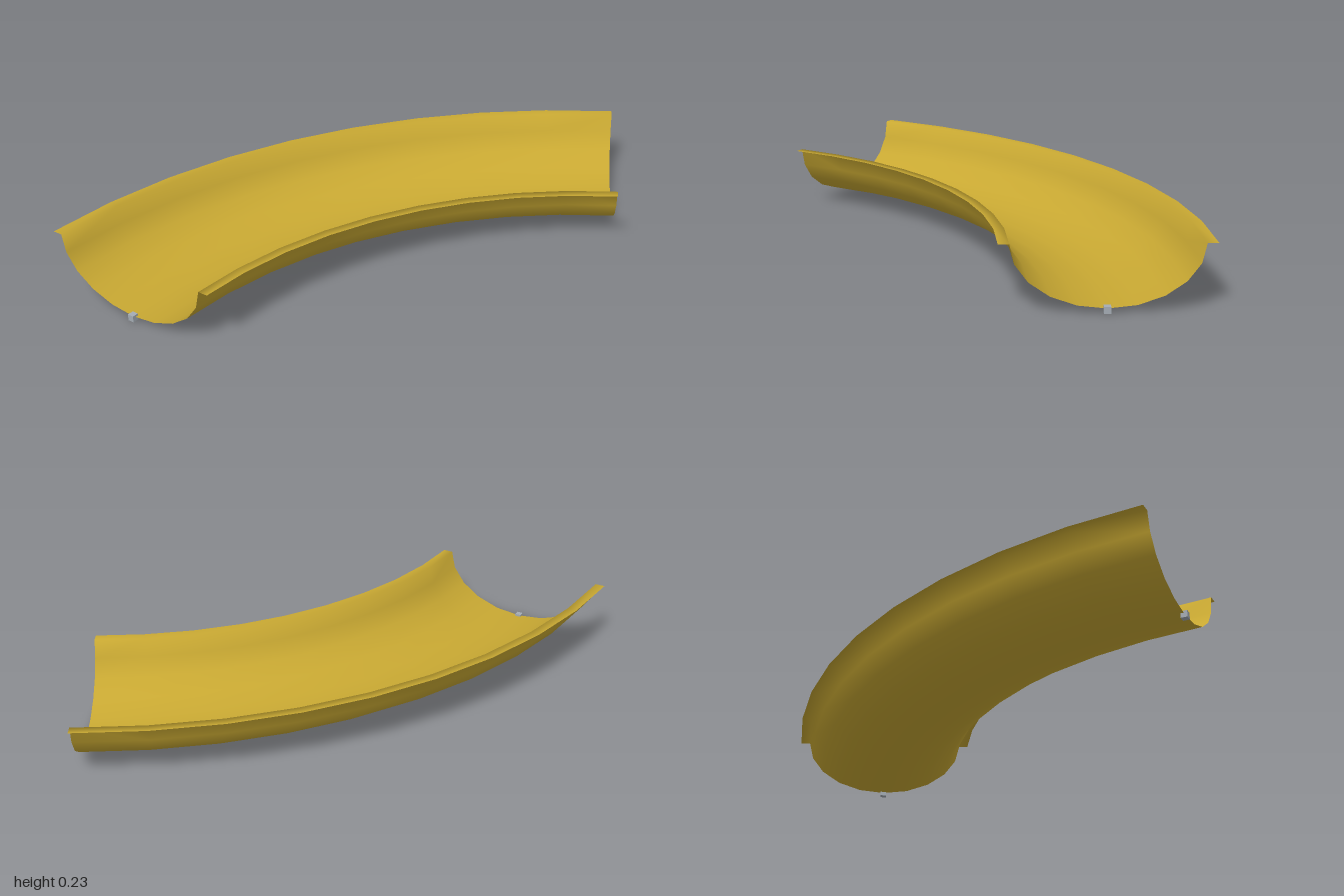
import * as THREE from 'three';

const RADIUS = 1.94;              // centre line of the bend
const CENTRE_X = 1.543, START_Z = 0.988;
const SWEEP = Math.PI / 3, STEPS = 9;
const HALF_WIDTH = 0.32, DEPTH = 0.22, RIM_Y = 0.235, LIP = 0.037;

// Point on the bend: offset is measured from the centre line towards the inside
function bendPoint(angle, offset, y) {
  const r = RADIUS - offset;
  return new THREE.Vector3(CENTRE_X - r * Math.cos(angle), y, START_Z - r * Math.sin(angle));
}

// Cross-section: outer lip, half ellipse, inner lip
function troughProfile() {
  const points = [[-HALF_WIDTH - LIP, RIM_Y]];
  for (let j = 0; j <= 10; j++) {
    const t = (j / 10) * Math.PI;
    points.push([-HALF_WIDTH * Math.cos(t), RIM_Y - DEPTH * Math.sin(t)]);
  }
  points.push([HALF_WIDTH + LIP, RIM_Y]);
  return points;
}

function troughGeometry() {
  const profile = troughProfile(), n = profile.length;
  const positions = [], indices = [];
  for (let i = 0; i <= STEPS; i++) {
    for (const [offset, y] of profile) {
      positions.push(...bendPoint((i / STEPS) * SWEEP, offset, y).toArray());
    }
  }
  for (let i = 0; i < STEPS; i++) {
    for (let j = 0; j < n - 1; j++) {
      const a = i * n + j, b = a + 1, c = a + n, d = c + 1;
      indices.push(a, b, c, b, d, c);
    }
  }
  const geometry = new THREE.BufferGeometry();
  geometry.setAttribute('position', new THREE.Float32BufferAttribute(positions, 3));
  geometry.setIndex(indices);
  geometry.computeVertexNormals();
  return geometry;
}

export function createModel() {
  const group = new THREE.Group();
  group.name = 'curvedChannel';

  const gold = new THREE.MeshStandardMaterial({ color: 0xc8a832, side: THREE.DoubleSide });
  gold.name = 'gold';
  const grey = new THREE.MeshStandardMaterial({ color: 0xa4acb4 });
  grey.name = 'grey';

  // Open half-pipe with flat lips
  const trough = new THREE.Mesh(troughGeometry(), gold);
  trough.name = 'trough';
  group.add(trough);

  // Small connector cubes under both ends
  const cube = new THREE.BoxGeometry(0.024, 0.024, 0.024);
  [['startConnector', 0], ['endConnector', SWEEP]].forEach(([name, angle]) => {
    const connector = new THREE.Mesh(cube, grey);
    connector.name = name;
    connector.position.copy(bendPoint(angle, 0, 0.012));
    connector.rotation.y = -angle;
    group.add(connector);
  });

  return group;
}
